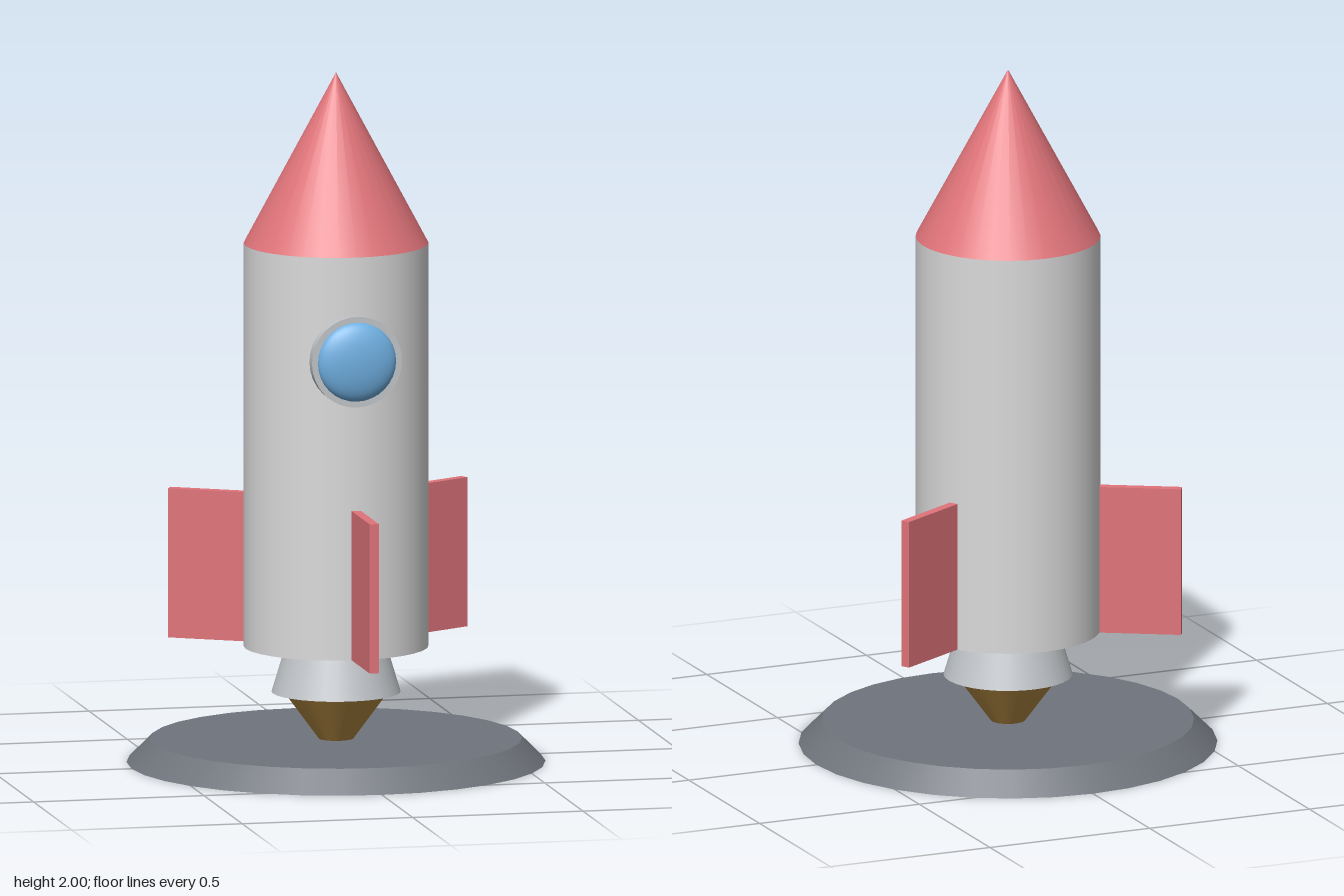
import * as THREE from 'three';

const paint = (name, color) => {
  const m = new THREE.MeshStandardMaterial({ color });
  m.name = name;
  return m;
};

export function createModel() {
  const white = paint('hull white', 0xdadadb);
  const red = paint('fin red', 0xe0747a);
  const steel = paint('nozzle steel', 0xc2c6ca);
  const slate = paint('pad slate', 0x70747c);
  const blue = paint('glass blue', 0x70b0e2);
  const amber = paint('flame amber', 0xb88d44);

  const rocket = new THREE.Group();
  rocket.name = 'rocket';
  const add = (name, geometry, material, parent = rocket) => {
    const mesh = new THREE.Mesh(geometry, material);
    mesh.name = name;
    parent.add(mesh);
    return mesh;
  };

  // Round stacked part between two heights
  const round = (name, rTop, rBottom, y0, y1, material) => {
    const geometry = new THREE.CylinderGeometry(rTop, rBottom, y1 - y0, 32);
    geometry.translate(0, (y0 + y1) / 2, 0);
    return add(name, geometry, material);
  };
  round('launchPad', 0.533, 0.6, 0, 0.067, slate);
  round('flame', 0.15, 0.05, 0.067, 0.203, amber);
  round('nozzle', 0.145, 0.185, 0.203, 0.336, steel);
  round('hull', 0.265, 0.265, 0.336, 1.505, white);
  add('noseCone', new THREE.ConeGeometry(0.265, 0.495, 32).translate(0, 1.7525, 0), red);

  // Porthole: short rim with a flattened glass dome
  const porthole = new THREE.Group();
  porthole.name = 'porthole';
  porthole.position.set(0, 1.203, 0);
  rocket.add(porthole);
  add('portholeRim', new THREE.CylinderGeometry(0.132, 0.132, 0.034, 32)
    .rotateX(Math.PI / 2).translate(0, 0, 0.257), steel, porthole);
  add('portholeGlass', new THREE.SphereGeometry(0.115, 32, 12, 0, Math.PI * 2, 0, Math.PI / 2)
    .rotateX(Math.PI / 2).scale(1, 1, 0.35).translate(0, 0, 0.272), blue, porthole);

  // Three fins spaced evenly around the hull, first one facing the front
  for (let i = 0; i < 3; i++) {
    const fin = add('fin', new THREE.BoxGeometry(0.027, 0.433, 0.26).translate(0, 0.553, 0.37), red);
    fin.rotation.y = (i * Math.PI * 2) / 3;
  }
  return rocket;
}
